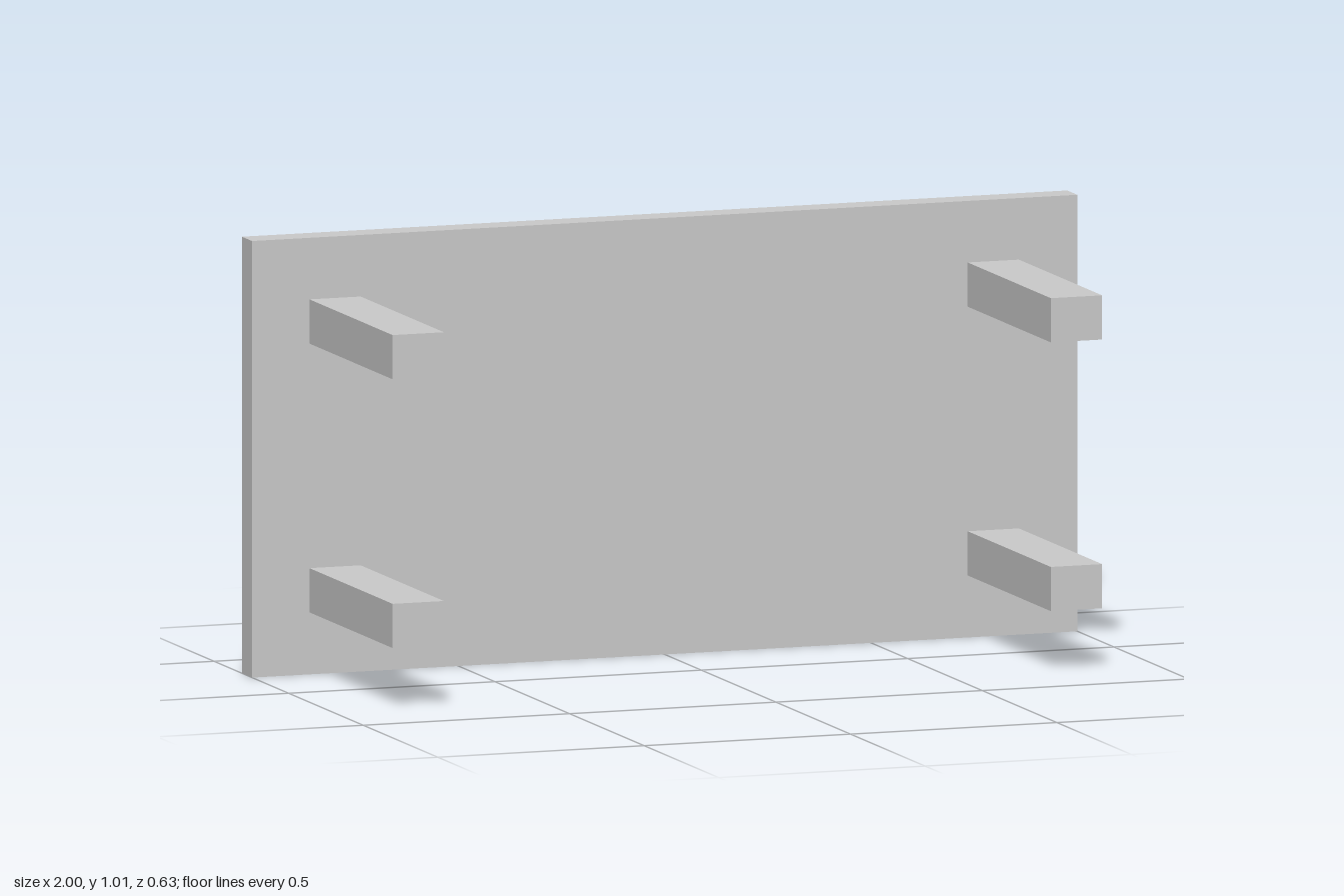
import * as THREE from 'three';

export function createModel() {
  const group = new THREE.Group();
  const material = new THREE.MeshStandardMaterial({ color: 0xcccccc, flatShading: true });

  const addBox = (name, size, position) => {
    const mesh = new THREE.Mesh(new THREE.BoxGeometry(...size), material);
    mesh.name = name;
    mesh.position.set(...position);
    group.add(mesh);
  };

  // Table top standing on its long edge, underside facing the front
  const height = 1.007, thickness = 0.068, back = -0.313;
  addBox('tableTop', [2, height, thickness], [0, height / 2, back + thickness / 2]);

  // Four legs reaching forward from the underside
  const legLength = 0.558;
  const legZ = back + thickness + legLength / 2;
  for (const [side, x] of [['Right', -0.799], ['Left', 0.796]]) {
    for (const [level, y] of [['lower', 0.194], ['upper', 0.814]]) {
      addBox(`${level}${side}Leg`, [0.124, 0.102, legLength], [x, y, legZ]);
    }
  }

  return group;
}
